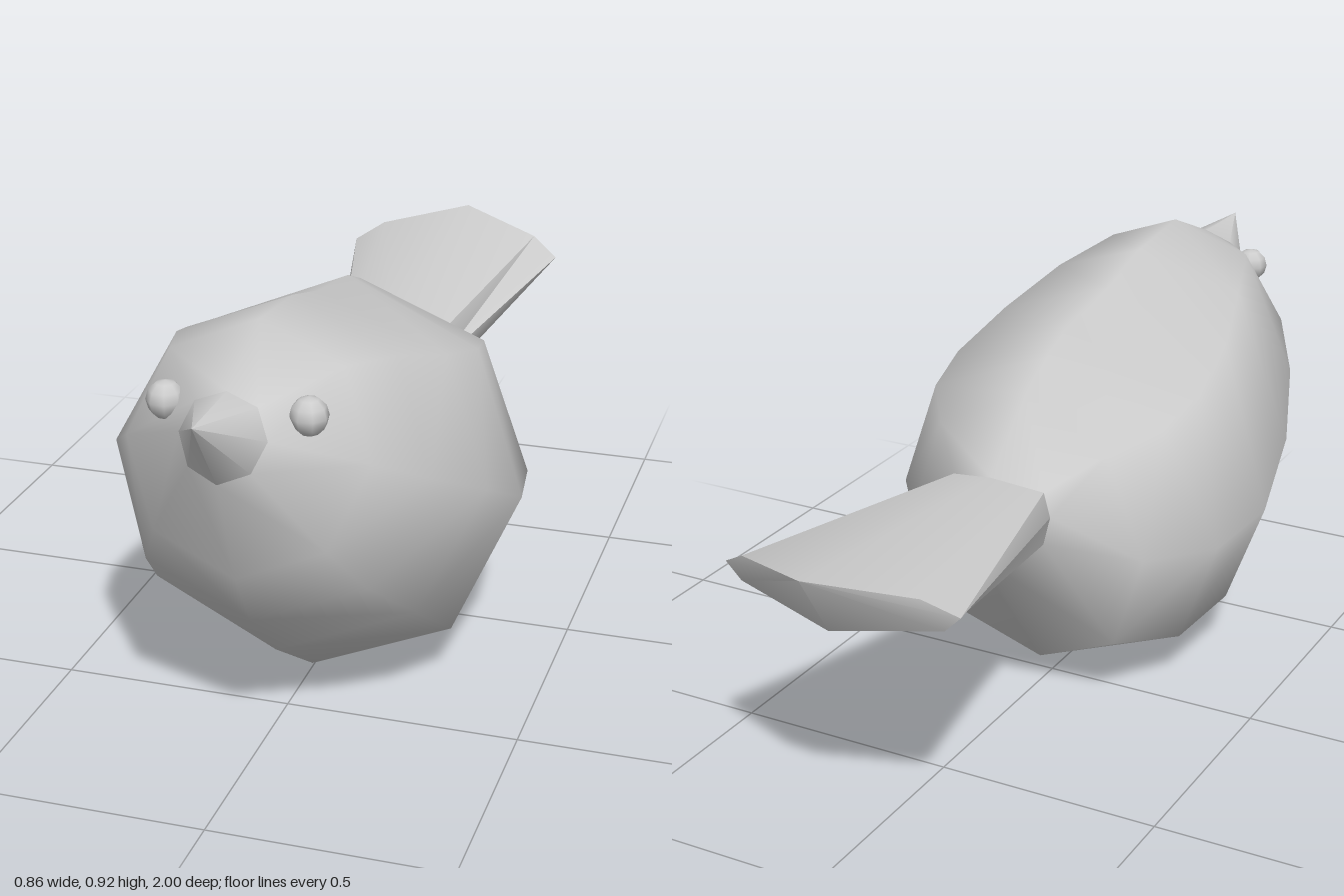
import * as THREE from 'three';
import { toCreasedNormals } from 'three/addons/utils/BufferGeometryUtils.js';

// Mirrors five points (top, right-hand side, bottom) into an eight-sided ring.
function mirrorRing(half) {
  return [...half, ...half.slice(1, 4).reverse().map(([x, y, z]) => [-x, y, z])];
}

// Tilted elliptical ring through a top point, a bottom point and a side width/depth.
function ellipseRing(topZ, topY, width, sideZ, bottomZ, bottomY) {
  const half = [];
  const midY = (topY + bottomY) / 2, midZ = (topZ + bottomZ) / 2;
  for (let i = 0; i < 5; i++) {
    const s = Math.sin(i * Math.PI / 4), c = Math.cos(i * Math.PI / 4);
    half.push([
      width * s,
      midY + c * (topY - bottomY) / 2,
      midZ + c * (topZ - bottomZ) / 2 + (sideZ - midZ) * s,
    ]);
  }
  return mirrorRing(half);
}

// Skins a list of rings from front to back, optionally closing the back.
function loft(rings, capBack = false) {
  const n = 8, index = [];
  for (let i = 0; i < rings.length - 1; i++) {
    for (let j = 0; j < n; j++) {
      const a = i * n + j, b = i * n + (j + 1) % n;
      index.push(a, b, a + n, b, b + n, a + n);
    }
  }
  if (capBack) {
    const k = (rings.length - 1) * n;
    for (let j = 1; j < n - 1; j++) index.push(k, k + j, k + j + 1);
  }
  const geometry = new THREE.BufferGeometry();
  geometry.setAttribute('position', new THREE.Float32BufferAttribute(rings.flat(2), 3));
  geometry.setIndex(index);
  geometry.computeVertexNormals();
  return geometry;
}

export function createModel() {
  const bird = new THREE.Group();
  bird.name = 'bird';
  const grey = new THREE.MeshStandardMaterial({ color: 0xcccccc });
  grey.name = 'plain grey';

  const add = (name, geometry) => {
    const mesh = new THREE.Mesh(geometry, grey);
    mesh.name = name;
    bird.add(mesh);
    return mesh;
  };

  const beakBase = ellipseRing(0.82, 0.843, 0.088, 0.845, 0.885, 0.68);
  const tailBase = mirrorRing([
    [0, 0.595, -0.28], [0.11, 0.57, -0.247], [0.125, 0.515, -0.247],
    [0.11, 0.45, -0.25], [0, 0.417, -0.315],
  ]);
  const tailEnd = mirrorRing([
    [0, 0.665, -1], [0.2, 0.63, -0.9], [0.265, 0.59, -0.865],
    [0.23, 0.555, -0.865], [0, 0.52, -0.91],
  ]);

  // Plump body, running from the beak to the root of the tail
  add('body', loft([
    beakBase,
    ellipseRing(0.633, 0.92, 0.25, 0.715, 0.8, 0.444),
    ellipseRing(0.43, 0.9, 0.33, 0.585, 0.72, 0.315),
    ellipseRing(0.27, 0.855, 0.4, 0.4, 0.57, 0.17),
    ellipseRing(0.06, 0.82, 0.43, 0.21, 0.33, 0.01),
    ellipseRing(-0.03, 0.783, 0.4, 0.02, 0.13, 0.002),
    ellipseRing(-0.12, 0.73, 0.29, -0.13, -0.06, 0.065),
    tailBase,
  ]));

  // Pointed beak
  add('beak', loft([beakBase.map(() => [0, 0.84, 1]), beakBase]));

  // Fanned tail with a flat top and a slanted tip
  add('tail', toCreasedNormals(loft([tailBase, tailEnd], true), 0.7));

  // Eyes
  for (const side of [1, -1]) {
    const eye = add(side > 0 ? 'leftEye' : 'rightEye', new THREE.SphereGeometry(0.039, 8, 6));
    eye.position.set(side * 0.143, 0.79, 0.768);
    eye.rotation.y = side * 0.5;
  }
  return bird;
}
